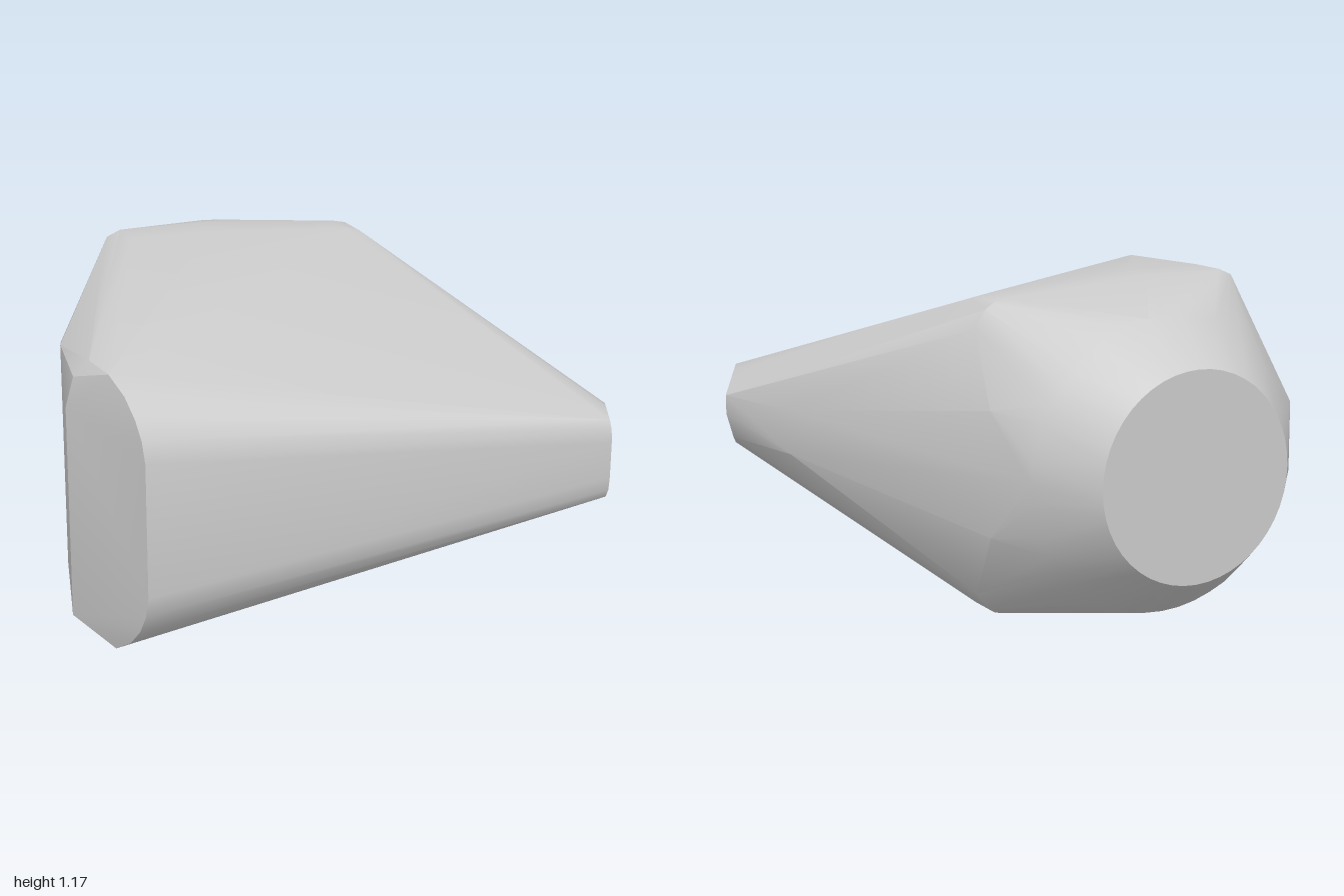
import * as THREE from 'three';
import { ConvexGeometry } from 'three/addons/geometries/ConvexGeometry.js';
import { toCreasedNormals } from 'three/addons/utils/BufferGeometryUtils.js';

const MID = 0.587; // height of the mirror plane between upper and lower halves

export function createModel() {
  const group = new THREE.Group();
  const points = [];
  const add = (x, y, z) => points.push(new THREE.Vector3(x, y, z));
  const addBoth = (x, y, z) => { add(x, y, z); add(x, 2 * MID - y, z); };

  // round rear: flat end disc and the wider ring ahead of it
  const ring = (radius, z, n) => {
    for (let i = 0; i < n; i++) {
      const a = (i / n) * Math.PI * 2;
      add(Math.cos(a) * radius, MID + Math.sin(a) * radius, z);
    }
  };
  ring(0.358, -1, 48);
  ring(0.502, -0.8, 48);

  // crown and belly: broad rounded shoulders
  for (const z of [-0.31, -0.45]) {
    addBoth(-0.45, 1.172, z);
    addBoth(-0.15, 1.172, z);
    addBoth(0.4, 1.13, z);
    addBoth(0.45, 1.12, z);
  }
  addBoth(-0.5, 1.15, -0.45);
  addBoth(0.48, 1.1, -0.45);
  addBoth(0.525, 1.04, -0.46);

  // side corners behind the shoulders
  addBoth(-0.64, 0.71, -0.63);
  addBoth(0.56, 0.8, -0.63);

  // tall end, rounded over at the front
  for (const [x, y, z] of [
    [-0.83, 0.81, 1], [-0.835, 0.88, 0.985], [-0.845, 0.94, 0.955],
    [-0.86, 1.0, 0.9], [-0.885, 1.05, 0.82], [-0.9, 1.05, 0.66],
    [-0.95, 1.0, 0.65], [-0.88, 0.98, 0.25],
  ]) addBoth(x, y, z);
  add(-0.978, 0.9, 0.65);
  add(-0.978, 0.185, 0.65);

  // narrow end
  for (const [x, y, z] of [
    [0.82, 0.65, 0.97], [0.82, 0.695, 0.965], [0.82, 0.725, 0.95], [0.88, 0.725, 0.82],
  ]) addBoth(x, y, z);
  add(0.978, 0.67, 0.65);
  add(0.978, 0.6, 0.65);
  add(0.953, 0.51, 0.65);
  add(0.88, 0.67, 0.28);
  add(0.88, 0.51, 0.28);

  const geometry = toCreasedNormals(new ConvexGeometry(points), 0.42);
  const body = new THREE.Mesh(geometry, new THREE.MeshStandardMaterial({ color: 0xcccccc }));
  body.name = 'body';
  group.add(body);
  return group;
}
